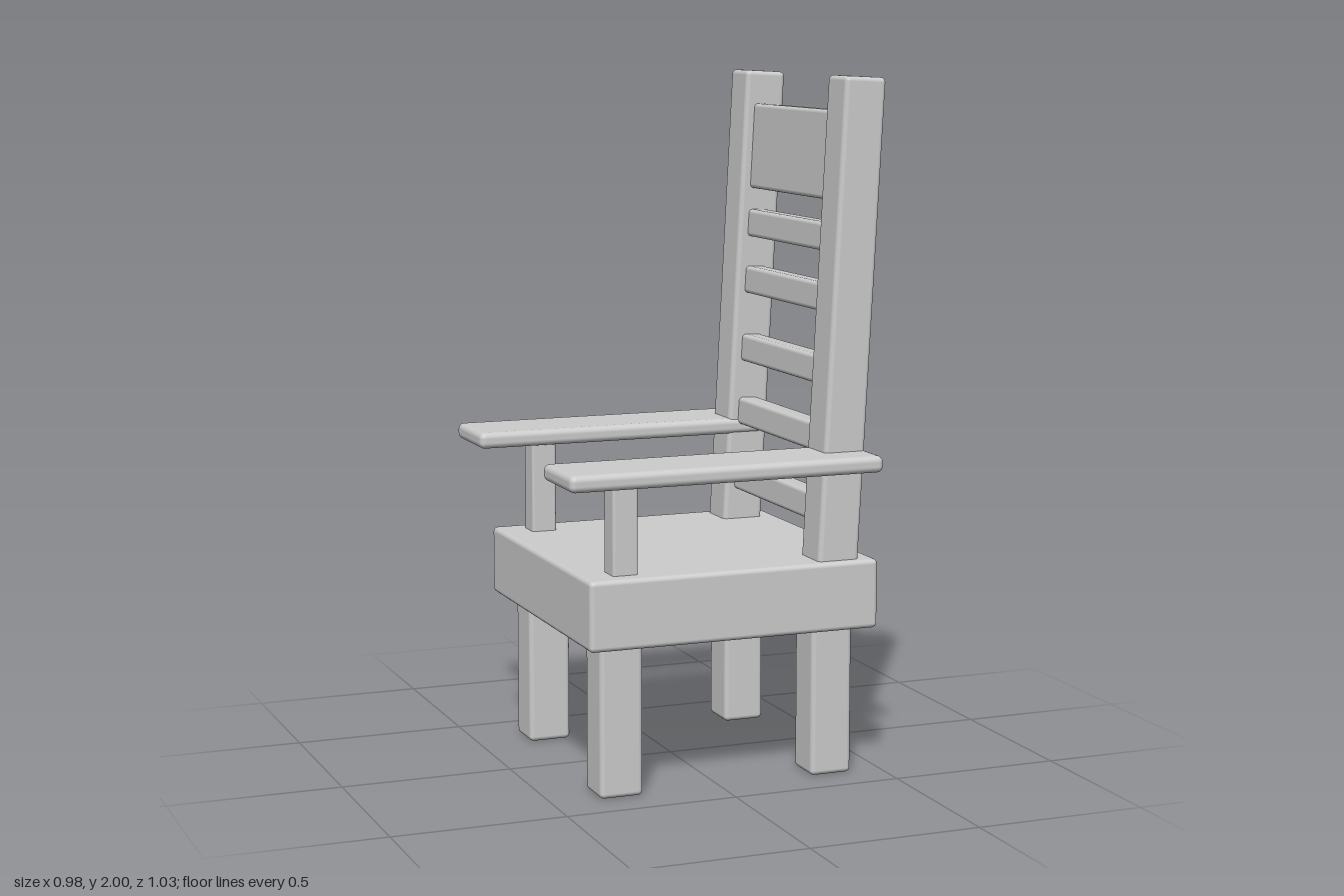
import * as THREE from 'three';
import { RoundedBoxGeometry } from 'three/addons/geometries/RoundedBoxGeometry.js';

const material = new THREE.MeshStandardMaterial({ color: 0xcccccc });

// Softly rounded board given by its [min, max] extent on each axis
function board(name, [x0, x1], [y0, y1], [z0, z1], radius = 0.014) {
  const geometry = new RoundedBoxGeometry(x1 - x0, y1 - y0, z1 - z0, 3, radius);
  const mesh = new THREE.Mesh(geometry, material);
  mesh.name = name;
  mesh.position.set((x0 + x1) / 2, (y0 + y1) / 2, (z0 + z1) / 2);
  return mesh;
}

// Extent across z, mirrored for side = -1
const across = (side, a, b) => (side > 0 ? [a, b] : [-b, -a]);

export function createModel() {
  const chair = new THREE.Group();
  chair.name = 'armchair';

  // Thick seat block; the sitter faces -x
  chair.add(board('seat', [-0.407, 0.465], [0.435, 0.635], [-0.435, 0.435]));

  // Reclined back, pivoting at the top of the seat
  const back = new THREE.Group();
  back.name = 'backrest';
  back.position.set(0.352, 0.635, 0);
  back.rotation.z = -0.0525;
  chair.add(back);

  for (const side of [1, -1]) {
    // Legs, very slightly uneven from side to side
    const legZ = side > 0 ? [0.267, 0.39] : [-0.377, -0.252];
    const shift = side > 0 ? 0 : 0.01;
    chair.add(board('frontLeg', [-0.362 + shift, -0.235 + shift], [0.004, 0.47], legZ));
    chair.add(board('backLeg', [0.281, 0.406], [0.004, 0.47], legZ));

    // Armrest and its support
    chair.add(board('armrest', [-0.49, 0.442], [0.898, 0.946], across(side, 0.28, 0.515), 0.018));
    chair.add(board('armSupport', [-0.321, -0.246], [0.6, 0.92], across(side, 0.308, 0.383), 0.008));

    // Back post
    back.add(board('backPost', [-0.0625, 0.0625], [-0.08, 1.364], across(side, 0.286, 0.411)));
  }

  // Slats between the posts
  for (const y of [0.767, 0.968, 1.162, 1.37, 1.542]) {
    const c = y - 0.635;
    back.add(board('backSlat', [-0.033, 0.033], [c - 0.041, c + 0.041], [-0.31, 0.31], 0.012));
  }
  back.add(board('topRail', [-0.033, 0.033], [1.012, 1.266], [-0.31, 0.31], 0.012));

  return chair;
}
